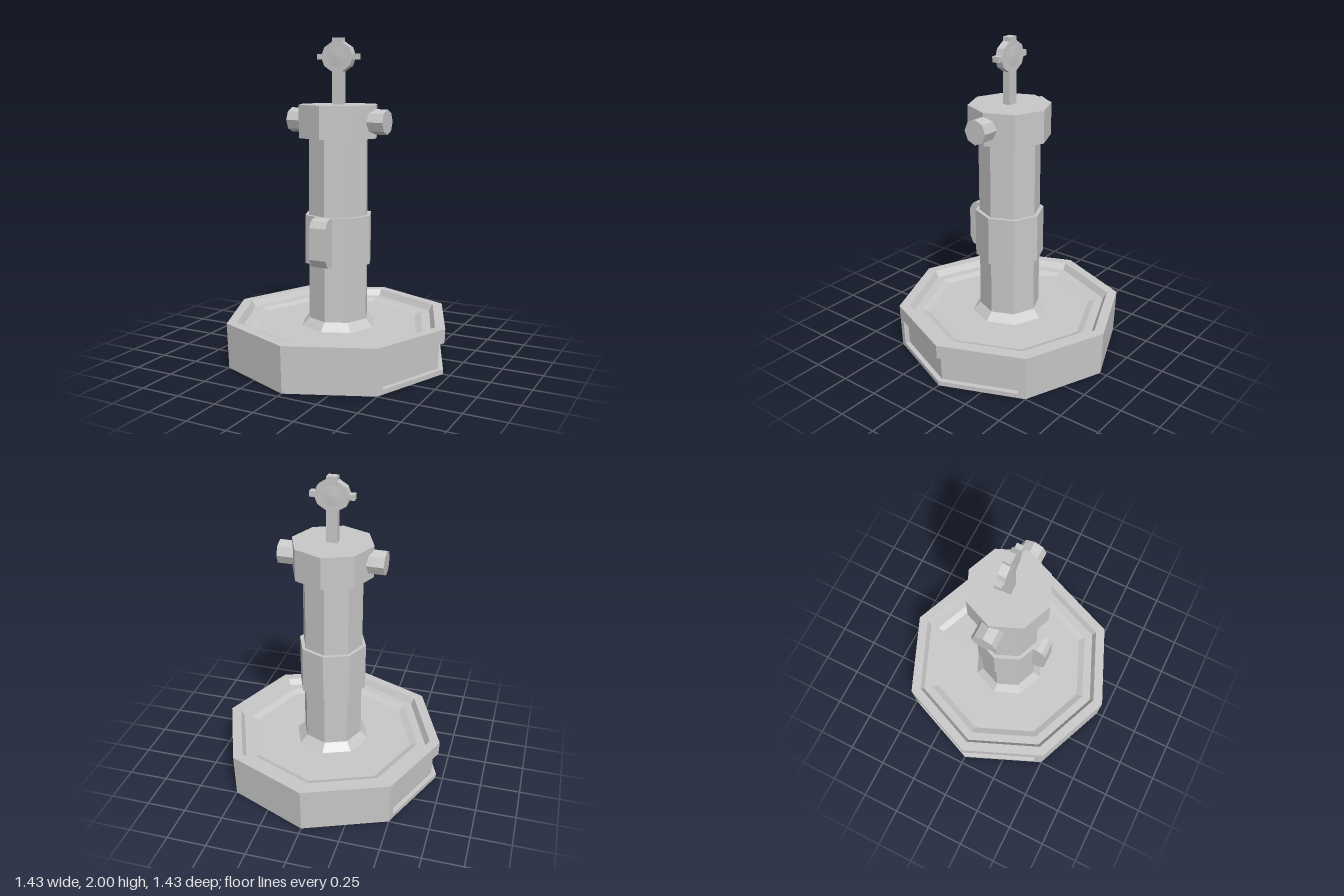
import * as THREE from 'three';

export function createModel() {
  const model = new THREE.Group();
  const grey = new THREE.MeshStandardMaterial({ color: 0xc8c8c8, flatShading: true });
  grey.name = 'light grey';

  const add = (name, geometry, x = 0, y = 0, z = 0) => {
    const mesh = new THREE.Mesh(geometry, grey);
    mesh.name = name;
    mesh.position.set(x, y, z);
    model.add(mesh);
    return mesh;
  };
  // Eight-sided turned part with corners on the x and z axes
  const octagon = (name, profile) =>
    add(name, new THREE.LatheGeometry(profile.map(([r, y]) => new THREE.Vector2(r, y)), 8));

  // Stepped tray on top of the base, and the hollowed underside
  octagon('baseTray', [[0.715, 0.283], [0.65, 0.283], [0.625, 0.243], [0.568, 0.243], [0.525, 0.226], [0, 0.226]]);
  octagon('baseUnderside', [[0, 0.03], [0.6, 0.03], [0.645, 0], [0.705, 0]]);

  // Base wall: one quarter is described and mirrored; the sides hold a sunken panel
  add('baseWall', baseWall());

  // Column with foot, collar and head
  octagon('columnFoot', [[0.24, 0.225], [0.19, 0.275]]);
  octagon('column', [[0.19, 0.226], [0.19, 1.41]]);
  octagon('collar', [[0.188, 0.625], [0.214, 0.625], [0.214, 0.928], [0.188, 0.928]]);
  octagon('head', [[0, 1.4], [0.252, 1.4], [0.252, 1.6], [0, 1.6]]);

  // Side knobs
  for (const side of [1, -1]) {
    const knob = add(side > 0 ? 'leftKnob' : 'rightKnob',
      new THREE.CylinderGeometry(0.076, 0.076, 0.13, 8), side * 0.262, 1.5, 0);
    knob.rotation.z = -side * Math.PI / 2;
  }

  // Rounded block on the front of the collar
  const block = new THREE.Shape([
    [0.15, 0.625], [0.22, 0.625], [0.255, 0.637], [0.278, 0.68],
    [0.278, 0.875], [0.255, 0.915], [0.22, 0.928], [0.15, 0.928],
  ].map(([z, y]) => new THREE.Vector2(z, y)));
  const blockGeometry = new THREE.ExtrudeGeometry(block, { depth: 0.11, bevelEnabled: false });
  blockGeometry.translate(0, 0, -0.055).rotateY(-Math.PI / 2);
  add('frontBlock', blockGeometry);

  // Finial: stem, disc, and three tabs
  add('finialStem', new THREE.BoxGeometry(0.068, 0.24, 0.048), 0, 1.7, 0);
  const disc = new THREE.CylinderGeometry(0.107, 0.107, 0.048, 10);
  disc.rotateX(Math.PI / 2).rotateZ(Math.PI / 10).scale(1, 0.88, 1);
  add('finialDisc', disc, 0, 1.886, 0);
  add('finialTopTab', new THREE.BoxGeometry(0.064, 0.06, 0.048), 0, 1.97, 0);
  add('finialSideTabs', new THREE.BoxGeometry(0.27, 0.034, 0.044), 0, 1.886, 0);
  // Slight bulge on both faces of the disc
  for (const face of [1, -1]) {
    const bulge = new THREE.ConeGeometry(0.065, 0.004, 10, 1, true);
    bulge.rotateX(face * Math.PI / 2);
    add('finialBulge', bulge, 0, 1.886, face * 0.026);
  }
  return model;
}

function baseWall() {
  const top = 0.283, panelLow = 0.03, panelHigh = 0.195, end = 0.915, innerEnd = 0.935, depth = 0.033;
  const radius = (y) => 0.705 + 0.01 * y / top;
  const c = Math.SQRT1_2;
  // Point on the side face: t = 0 on the x axis, t = 1 at the diagonal corner
  const side = (t, y, inset = 0) => {
    const r = radius(y) - inset;
    return [r * (1 - t + t * c), y, r * t * c];
  };
  const front = (y) => [0, y, radius(y)];
  const quads = [
    // plain face next to the front
    [side(1, 0), side(1, top), front(top), front(0)],
    // frame around the panel
    [side(0, 0), side(0, panelLow), side(1, panelLow), side(1, 0)],
    [side(0, panelHigh), side(0, top), side(1, top), side(1, panelHigh)],
    [side(end, panelLow), side(end, panelHigh), side(1, panelHigh), side(1, panelLow)],
    // sunken panel and its edges
    [side(0, panelLow, depth), side(0, panelHigh, depth), side(innerEnd, panelHigh, depth), side(innerEnd, panelLow, depth)],
    [side(0, panelLow), side(0, panelLow, depth), side(innerEnd, panelLow, depth), side(end, panelLow)],
    [side(0, panelHigh, depth), side(0, panelHigh), side(end, panelHigh), side(innerEnd, panelHigh, depth)],
    [side(innerEnd, panelLow, depth), side(innerEnd, panelHigh, depth), side(end, panelHigh), side(end, panelLow)],
  ];
  const positions = [];
  for (const sx of [1, -1]) for (const sz of [1, -1]) {
    for (const q of quads) {
      const order = sx * sz > 0 ? [0, 1, 2, 0, 2, 3] : [0, 2, 1, 0, 3, 2];
      for (const i of order) positions.push(q[i][0] * sx, q[i][1], q[i][2] * sz);
    }
  }
  const geometry = new THREE.BufferGeometry();
  geometry.setAttribute('position', new THREE.Float32BufferAttribute(positions, 3));
  geometry.computeVertexNormals();
  return geometry;
}
